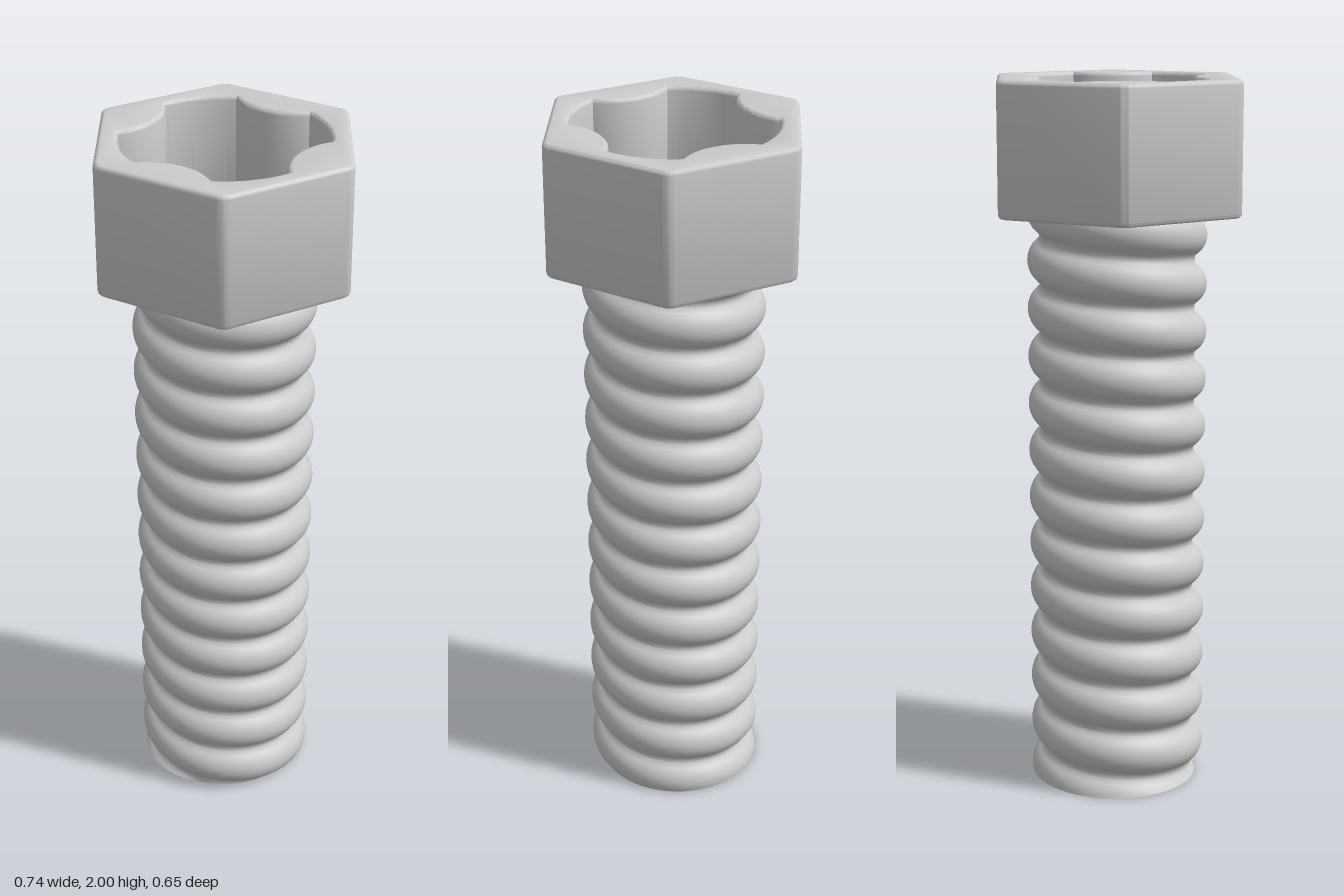
import * as THREE from 'three';
import { toCreasedNormals } from 'three/addons/utils/BufferGeometryUtils.js';

const HEAD_BASE = 1.635, TOP = 2, SOCKET_FLOOR = 1.68;
const PITCH = 0.135, CREST_Y = 0.05;
const CORE = 0.216, CREST = 0.249, BORE = 0.184;

// Thread radius; u runs 0..1 from valley to valley across one ridge
function threadRadius(u) {
  const d = Math.min(1, Math.abs(u - 0.5) / 0.4);
  return CORE + (CREST - CORE) * Math.pow(1 - d * d, 0.7);
}

// One helical strip, cut off flat at both ends of the shank
function threadGeometry() {
  const perTurn = 72, across = 14;
  const first = -perTurn * 2, last = perTurn * 14;
  const pos = [], index = [];
  for (let i = first; i <= last; i++) {
    const turn = i / perTurn, a = turn * Math.PI * 2;
    for (let j = 0; j <= across; j++) {
      const raw = CREST_Y + PITCH * (turn + j / across - 0.5);
      const y = THREE.MathUtils.clamp(raw, 0, HEAD_BASE + 0.005);
      const r = threadRadius((y - CREST_Y) / PITCH - turn + 0.5);
      pos.push(r * Math.cos(a), y, r * Math.sin(a));
      if (i < last && j < across) {
        const p = (i - first) * (across + 1) + j, q = p + across + 1;
        index.push(p, p + 1, q, p + 1, q + 1, q);
      }
    }
  }
  const geo = new THREE.BufferGeometry();
  geo.setAttribute('position', new THREE.Float32BufferAttribute(pos, 3));
  geo.setIndex(index);
  geo.computeVertexNormals();
  return geo;
}

// Flat end of the shank, following the cut thread
function endShape() {
  const pts = [];
  for (let i = 0; i < 144; i++) {
    const a = (i / 144) * Math.PI * 2;
    const u = THREE.MathUtils.euclideanModulo(-CREST_Y / PITCH - a / (Math.PI * 2) + 0.5, 1);
    const r = threadRadius(u);
    pts.push(new THREE.Vector2(r * Math.cos(a), r * Math.sin(a)));
  }
  return new THREE.Shape(pts);
}

// Hexagon with softened corners
function hexShape() {
  const R = 0.326 / Math.cos(Math.PI / 6), trim = 0.022 / R;
  const corner = (i) => new THREE.Vector2(R * Math.cos(i * Math.PI / 3), R * Math.sin(i * Math.PI / 3));
  const s = new THREE.Shape();
  for (let i = 0; i < 6; i++) {
    const c = corner(i);
    const a = c.clone().lerp(corner(i - 1), trim), b = c.clone().lerp(corner(i + 1), trim);
    if (i === 0) s.moveTo(a.x, a.y); else s.lineTo(a.x, a.y);
    s.quadraticCurveTo(c.x, c.y, b.x, b.y);
  }
  s.closePath();
  return s;
}

// Four-lobed socket outline: round lobes joined by inward bulges
function socketPath() {
  const path = new THREE.Path();
  const R = Math.hypot(0.25, 0.112), half = Math.atan2(0.112, 0.25);
  for (let k = 0; k < 4; k++) {
    const q = k * Math.PI / 2, c = Math.cos(q), s = Math.sin(q);
    const at = (x, y) => [x * c - y * s, x * s + y * c];
    if (k === 0) path.moveTo(...at(0.25, -0.112));
    path.bezierCurveTo(...at(0.195, -0.05), ...at(0.195, 0.05), ...at(0.25, 0.112));
    path.absarc(0, 0, R, q + half, q + Math.PI / 2 - half, false);
  }
  return path;
}

export function createModel() {
  const model = new THREE.Group();
  const grey = new THREE.MeshStandardMaterial({ color: 0xcccccc });
  const greyBoth = new THREE.MeshStandardMaterial({ color: 0xcccccc, side: THREE.DoubleSide });
  const add = (name, geo, mat = grey) => {
    const mesh = new THREE.Mesh(geo, mat);
    mesh.name = name;
    model.add(mesh);
    return mesh;
  };

  // Hexagonal head with the lobed socket cut through
  const bevel = 0.012;
  const hex = hexShape();
  hex.holes.push(socketPath());
  const head = new THREE.ExtrudeGeometry(hex, {
    depth: TOP - HEAD_BASE - 2 * bevel, curveSegments: 12,
    bevelThickness: bevel, bevelSize: bevel, bevelOffset: -bevel, bevelSegments: 3,
  });
  head.rotateX(-Math.PI / 2).translate(0, HEAD_BASE + bevel, 0);
  add('head', toCreasedNormals(head, 0.6));

  // Socket floor, open to the bore
  const ring = new THREE.Shape().absarc(0, 0, 0.295, 0, Math.PI * 2, false);
  ring.holes.push(new THREE.Path().absarc(0, 0, BORE, 0, Math.PI * 2, true));
  const floor = new THREE.ExtrudeGeometry(ring, {
    depth: SOCKET_FLOOR - HEAD_BASE, bevelEnabled: false, curveSegments: 64,
  });
  floor.rotateX(-Math.PI / 2).translate(0, HEAD_BASE, 0);
  add('socketFloor', toCreasedNormals(floor, 0.6));

  // Bore inside the shank
  const bore = new THREE.LatheGeometry([
    new THREE.Vector2(0, 0.05), new THREE.Vector2(BORE, 0.05), new THREE.Vector2(BORE, HEAD_BASE + 0.005),
  ], 64);
  add('bore', toCreasedNormals(bore, 0.6), greyBoth);

  // Threaded shank and its flat end
  add('threadedShank', threadGeometry());
  add('shankEnd', new THREE.ShapeGeometry(endShape()).rotateX(Math.PI / 2));

  return model;
}
